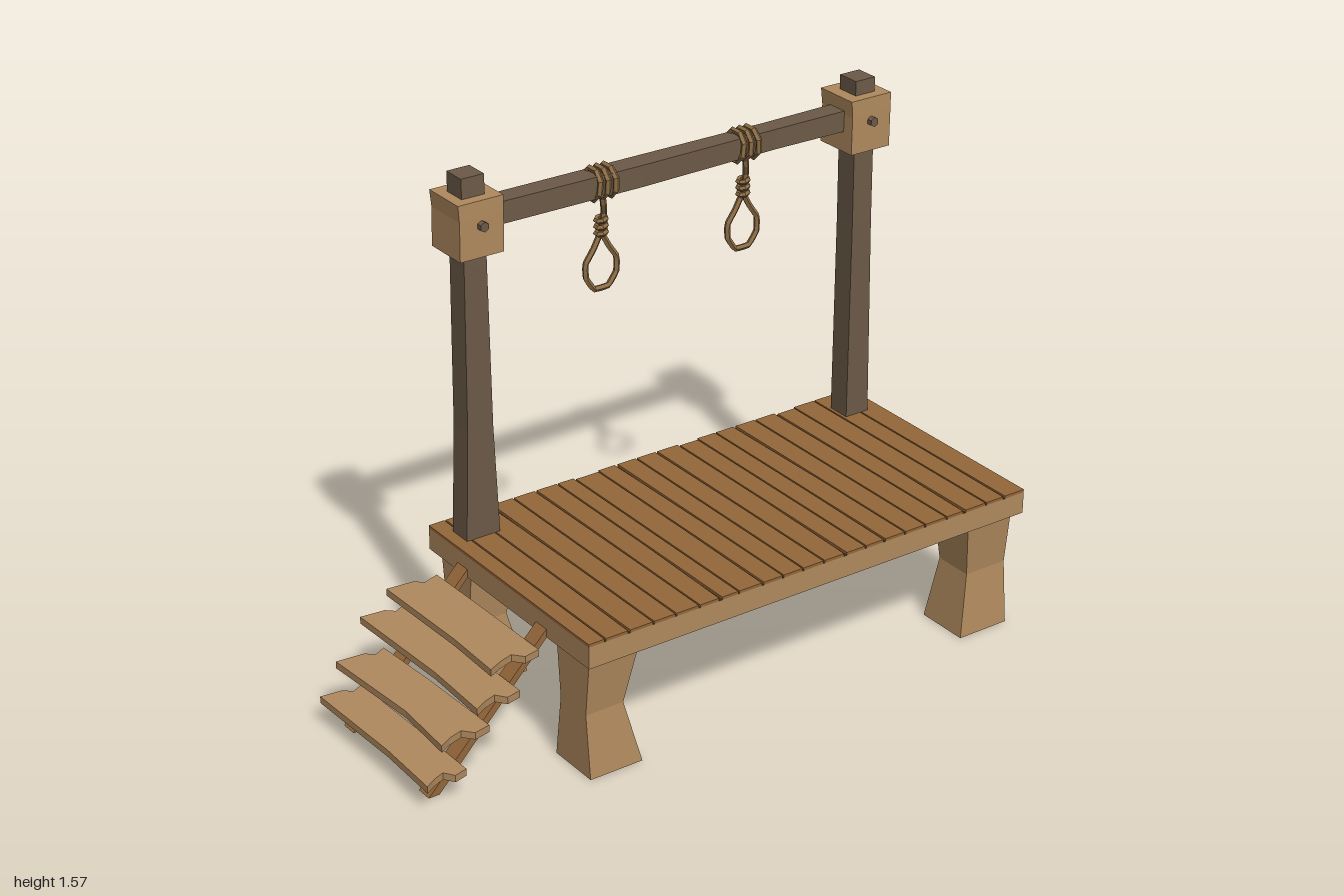
import * as THREE from 'three';

const mat = (name, color) => {
  const m = new THREE.MeshStandardMaterial({ color, flatShading: true, side: THREE.DoubleSide });
  m.name = name;
  return m;
};

export function createModel() {
  const tan = mat('light wood', 0xb08a5e);
  const brown = mat('plank wood', 0x946739);
  const dark = mat('dark timber', 0x6c5a47);
  const gap = mat('plank gap', 0x4a321b);
  const rope = mat('rope', 0x8c6c44);

  const root = new THREE.Group();
  const add = (name, geo, material, parent = root) => {
    const mesh = new THREE.Mesh(geo, material);
    mesh.name = name;
    parent.add(mesh);
    return mesh;
  };
  const group = (name) => {
    const g = new THREE.Group();
    g.name = name;
    root.add(g);
    return g;
  };

  // Square timber through sections [y, x0, x1, z0, z1], bottom to top
  const timber = (sections, openBottom = false) => {
    const n = sections.length - 1;
    const geo = new THREE.BoxGeometry(1, 1, 1, 1, n, 1);
    const p = geo.attributes.position;
    for (let i = 0; i < p.count; i++) {
      const [y, x0, x1, z0, z1] = sections[Math.round((p.getY(i) + 0.5) * n)];
      p.setXYZ(i, p.getX(i) < 0 ? x0 : x1, y, p.getZ(i) < 0 ? z0 : z1);
    }
    if (openBottom) {
      const b = geo.groups[3];
      geo.setIndex([...geo.index.array].filter((_, i) => i < b.start || i >= b.start + b.count));
    }
    geo.clearGroups();
    geo.computeVertexNormals();
    return geo;
  };

  // Flat board: outline of [x, z] points, top at y
  const board = (outline, y, thick) => {
    const shape = new THREE.Shape(outline.map(([x, z]) => new THREE.Vector2(x, -z)));
    const geo = new THREE.ExtrudeGeometry(shape, { depth: thick, bevelEnabled: false });
    return geo.rotateX(-Math.PI / 2).translate(0, y - thick, 0);
  };

  // Platform: frame block with dark top that shows between the planks
  const deck = group('platform');
  const frame = new THREE.BoxGeometry(1.55, 0.069, 0.826).translate(0.22, 0.4135, -0.002);
  add('platformFrame', frame, [tan, tan, gap, tan, tan, tan], deck);
  const seams = [-0.555, -0.5, -0.42, -0.34, -0.265, -0.185, -0.11, -0.05, 0.035, 0.105, 0.175,
    0.25, 0.33, 0.4, 0.47, 0.545, 0.62, 0.7, 0.77, 0.85, 0.92, 0.995];
  for (let i = 0; i < seams.length - 1; i++) {
    const a = seams[i] + (i ? 0.002 : 0);
    const b = seams[i + 1];
    const g = i === seams.length - 2 ? 0 : 0.003;
    const w = g * (1 + (i * 7) % 3);
    const flip = i % 2;
    const z0 = -0.415 + (i % 5 === 2 ? 0.008 : 0);
    const outline = [[a, z0], [b - (flip ? g : w), z0], [b - g, 0.05], [b - (flip ? w : g), 0.411], [a, 0.411]];
    add('plank', board(outline, 0.457, 0.009), brown, deck);
  }

  // Legs: waisted stumps, hollow underneath
  const legs = group('legs');
  for (const [xOut, sx, waist] of [[-0.535, 1, 0.125], [0.975, -1, 0.145]]) {
    for (const [zOut, sz] of [[0.382, -1], [-0.382, 1]]) {
      const sec = (y, w, d, inset) => {
        const x = [xOut, xOut + sx * w].sort((a, b) => a - b);
        const z = [zOut + sz * inset, zOut + sz * d].sort((a, b) => a - b);
        return [y, ...x, ...z];
      };
      add('leg', timber([
        sec(0, 0.175, 0.172, 0), sec(0.2, waist, 0.145, 0.02), sec(0.38, 0.165, 0.16, 0),
      ], true), tan, legs);
    }
  }

  // Uprights
  add('leftPost', timber([
    [0.45, -0.517, -0.404, -0.345, -0.268], [0.8, -0.503, -0.418, -0.343, -0.268],
    [1.3, -0.498, -0.424, -0.343, -0.268], [1.57, -0.498, -0.424, -0.345, -0.27],
  ]), dark);
  add('rightPost', timber([
    [0.45, 0.862, 0.946, -0.345, -0.268], [1.1, 0.865, 0.936, -0.343, -0.268],
    [1.555, 0.865, 0.936, -0.345, -0.27],
  ]), dark);

  // Crossbeam
  const beam = timber([
    [-0.43, -0.035, 0.032, -0.341, -0.274], [0.1, -0.032, 0.034, -0.343, -0.272],
    [0.58, -0.032, 0.03, -0.338, -0.276], [0.87, -0.033, 0.032, -0.341, -0.274],
  ]);
  add('crossbeam', beam.rotateZ(-Math.PI / 2).translate(0, 1.437, 0), dark);

  // Joint blocks with a peg through each
  for (const x of [-0.458, 0.898]) {
    const joint = group('joint');
    add('jointBlock', timber([
      [1.343, x - 0.072, x + 0.07, -0.382, -0.234], [1.46, x - 0.07, x + 0.072, -0.38, -0.235],
      [1.51, x - 0.073, x + 0.073, -0.384, -0.236],
    ]), tan, joint);
    add('peg', new THREE.CylinderGeometry(0.015, 0.015, 0.18, 6).rotateX(Math.PI / 2)
      .translate(x, 1.437, -0.308), dark, joint);
  }

  // Rope loops with coils around the beam
  const v = (x, y, z = 0) => new THREE.Vector3(x, y, z);
  for (const x of [-0.02, 0.48]) {
    const hang = group('ropeLoop');
    hang.position.set(x, 0, -0.307);
    for (let k = -1; k <= 1; k++) {
      const coil = add('beamCoil', new THREE.TorusGeometry(0.046, 0.0095, 5, 8)
        .rotateZ(Math.PI / 8).rotateY(Math.PI / 2), rope, hang);
      coil.position.set(k * 0.027, 1.437, 0);
      coil.rotation.z = k * 0.06 - 0.06;
    }
    const drop = new THREE.CatmullRomCurve3([v(-0.004, 1.395, 0.02), v(0.002, 1.37, 0.015), v(0.013, 1.34), v(0.004, 1.28)]);
    add('hangingRope', new THREE.TubeGeometry(drop, 6, 0.01, 5), rope, hang);
    for (let k = 0; k < 3; k++) {
      const wrap = add('knotWrap', new THREE.TorusGeometry(0.015, 0.0085, 5, 7).rotateX(Math.PI / 2), rope, hang);
      wrap.position.set(0.003, 1.283 + k * 0.02, 0);
      wrap.rotation.z = 0.2;
    }
    const ring = [v(0.002, 1.28), v(-0.024, 1.235), v(-0.052, 1.195), v(-0.05, 1.15), v(-0.024, 1.112),
      v(0.026, 1.112), v(0.054, 1.15), v(0.055, 1.195), v(0.028, 1.235)];
    const loop = new THREE.CatmullRomCurve3(ring, true, 'catmullrom', 0.15);
    add('loop', new THREE.TubeGeometry(loop, 27, 0.0095, 5, true), rope, hang);
  }

  // Stairs: two slanted stringers
  const stairs = group('stairs');
  for (const z of [-0.235, 0.175]) {
    const side = new THREE.Shape([[-0.95, 0], [-0.915, 0], [-0.55, 0.383], [-0.55, 0.41]]
      .map(([x, y]) => new THREE.Vector2(x, y)));
    add('stringer', new THREE.ExtrudeGeometry(side, { depth: 0.052, bevelEnabled: false })
      .translate(0, 0, z - 0.026), brown, stairs);
  }

  // Worn treads [x0, x1, top y, z0, z1, skew]
  const treads = [
    [-1.0, -0.86, 0.093, -0.302, 0.272, 0.012], [-0.95, -0.775, 0.197, -0.29, 0.26, 0.025],
    [-0.84, -0.685, 0.285, -0.335, 0.278, -0.015], [-0.77, -0.6, 0.37, -0.3, 0.245, 0.01],
  ];
  for (const [x0, x1, y, z0, z1, s] of treads) {
    const w = x1 - x0;
    const k = Math.abs(s);
    add('tread', board([
      [x0, z0], [x0 + w * 0.5, z0 + 0.008], [x0 + w * 0.65, z0 + 0.03], [x1 - k, z0 + 0.012],
      [x1 - k * 0.4, -0.05], [x1, z1 - 0.015], [x0 + w * 0.7, z1 - 0.004], [x0 + w * 0.55, z1 - 0.035],
      [x0 + w * 0.3, z1 - 0.022], [x0 + k * 0.5, z1], [x0 + k, 0.05],
    ], y, 0.022), tan, stairs);
  }
  return root;
}
